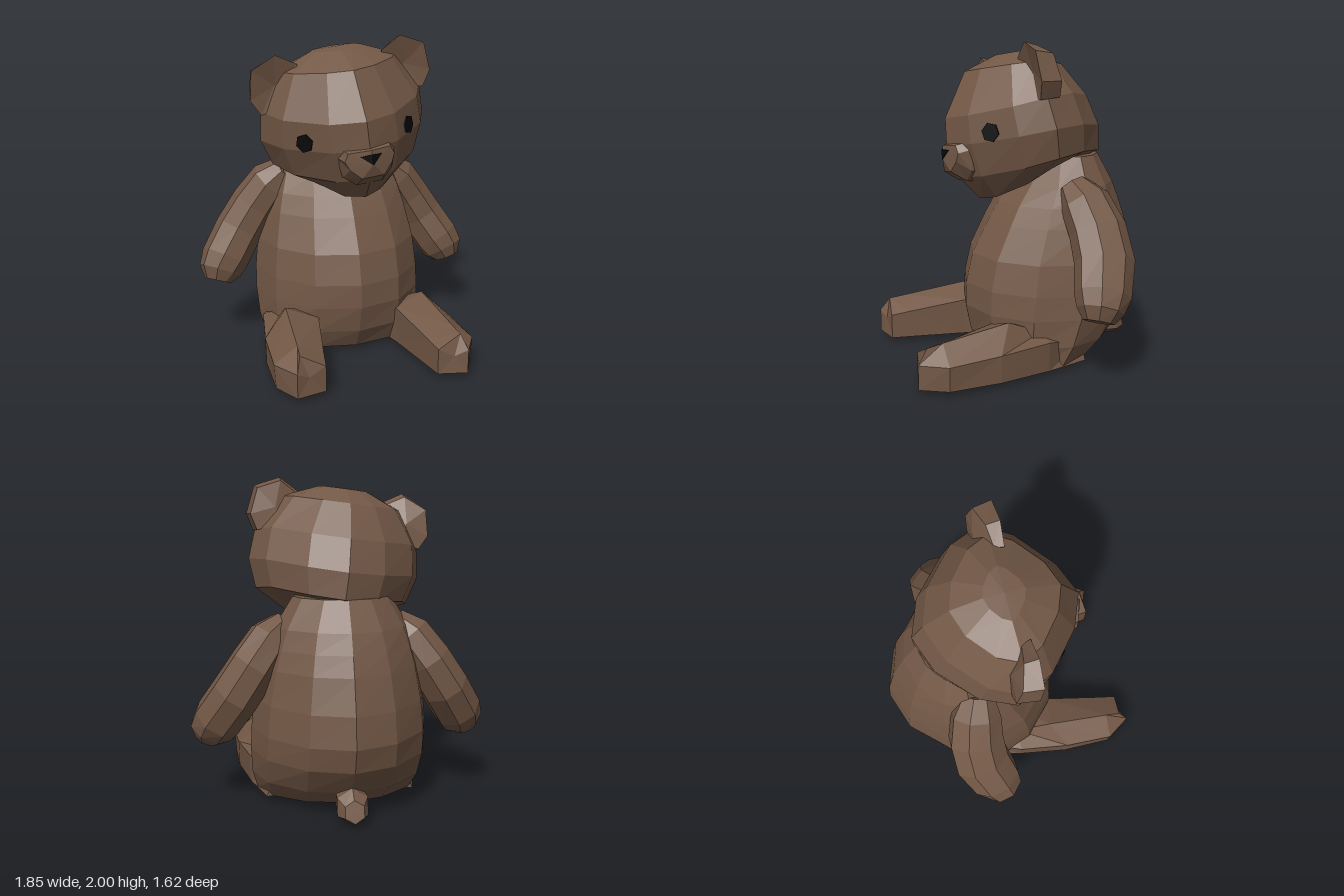
import * as THREE from 'three';

const V = (x, y, z) => new THREE.Vector3(x, y, z);

// Skin a series of equal-length rings, closing both ends with fans; faces always point outwards
function loft(rings, startTip, endTip) {
  const n = rings[0].length, tris = [];
  const centre = (r) => r.reduce((a, p) => a.add(p), V(0, 0, 0)).divideScalar(n);
  const first = rings[0], last = rings[rings.length - 1];
  const a = startTip || centre(first), b = endTip || centre(last);
  for (let i = 0; i < n; i++) {
    const j = (i + 1) % n;
    tris.push([a, first[j], first[i]], [b, last[i], last[j]]);
    for (let k = 0; k + 1 < rings.length; k++) {
      const r = rings[k], s = rings[k + 1];
      tris.push([r[i], r[j], s[j]], [r[i], s[j], s[i]]);
    }
  }
  const volume = tris.reduce((sum, [p, q, r]) => sum + p.dot(q.clone().cross(r)), 0);
  const pts = tris.flatMap(([p, q, r]) => (volume < 0 ? [p, r, q] : [p, q, r]));
  const g = new THREE.BufferGeometry().setFromPoints(pts);
  g.computeVertexNormals();
  return g;
}

// Roughly horizontal 12-sided ring: front and back heights and depths, half width, pointedness
function ring([yF, yB, zF, zB, w], frontE, backE) {
  const zc = (zF + zB) / 2, half = (zF - zB) / 2;
  return Array.from({ length: 12 }, (_, i) => {
    const a = (i / 12) * Math.PI * 2, s = Math.sin(a), c = Math.cos(a);
    const e = c > 0 ? frontE : backE;
    const z = zc + half * Math.sign(c) * Math.abs(c) ** e;
    const y = yF + (yB - yF) * THREE.MathUtils.smoothstep(1.3 * (zF - z) / (zF - zB), 0, 1);
    return V(w * Math.sign(s) * Math.abs(s) ** e, y, z);
  });
}

export function createModel() {
  const model = new THREE.Group();
  model.name = 'teddyBear';
  const fur = new THREE.MeshStandardMaterial({ color: 0x735846 });
  fur.name = 'brownFur';
  fur.flatShading = true;
  const black = new THREE.MeshStandardMaterial({ color: 0x080808 });
  black.name = 'black';
  const add = (parent, name, geometry, material = fur) => {
    const mesh = new THREE.Mesh(geometry, material);
    mesh.name = name;
    parent.add(mesh);
    return mesh;
  };

  // Body: height, front depth, back depth, half width
  const bodyRings = [
    [0.03, 0.25, -0.46, 0.515], [0.16, 0.32, -0.64, 0.55], [0.33, 0.355, -0.77, 0.56],
    [0.48, 0.35, -0.81, 0.555], [0.67, 0.305, -0.79, 0.535], [0.88, 0.195, -0.735, 0.49],
    [1.0, 0.125, -0.69, 0.455], [1.12, 0.03, -0.64, 0.41], [1.3, -0.08, -0.54, 0.3],
  ].map(([y, f, b, w]) => ring([y, y, f, b, w], 1, 1.12));
  add(model, 'body', loft(bodyRings));

  // Tail
  const tailRings = [[-0.48, 0.09, 0.065], [-0.62, 0.105, 0.1], [-0.7, 0.105, 0.105], [-0.765, 0.095, 0.065]]
    .map(([z, y, r]) => Array.from({ length: 6 }, (_, i) => {
      const a = (i / 6) * Math.PI * 2;
      return V(r * Math.sin(a), y + r * Math.cos(a), z + 0.02 * Math.cos(a));
    }));
  add(model, 'tail', loft(tailRings));

  // Limbs, built once for each side: arm path points with half width and half depth
  const armPath = [
    [0.34, 1.13, -0.24, 0.08, 0.1], [0.43, 1.04, -0.28, 0.135, 0.155], [0.54, 0.885, -0.315, 0.145, 0.175],
    [0.65, 0.715, -0.31, 0.15, 0.18], [0.76, 0.545, -0.245, 0.15, 0.165], [0.8, 0.47, -0.21, 0.135, 0.135],
    [0.82, 0.41, -0.19, 0.085, 0.09],
  ];
  for (const s of [1, -1]) {
    const side = s > 0 ? 'left' : 'right';
    const centres = armPath.map(([x, y, z]) => V(s * x, y, z));
    const armRings = armPath.map(([, , , across, deep], k) => {
      const t = centres[Math.min(k + 1, 6)].clone().sub(centres[Math.max(k - 1, 0)]).normalize();
      const u = V(0, 0, 1).addScaledVector(t, -t.z).normalize();
      const v = u.clone().cross(t);
      return Array.from({ length: 8 }, (_, i) => {
        const a = ((i + 0.5) / 8) * Math.PI * 2;
        return centres[k].clone().addScaledVector(v, 1.04 * across * Math.cos(a))
          .addScaledVector(u, 1.04 * deep * Math.sin(a));
      });
    });
    add(model, side + 'Arm', loft(armRings));

    // Leg sections from hip to toe: inner bottom, inner top, ridge, outer top, outer bottom
    const legRings = [
      [[0.1, 0.03, -0.28], [0.1, 0.12, -0.28], [0.25, 0.18, -0.28], [0.42, 0.15, -0.28], [0.47, 0.03, -0.28]],
      [[0.2, 0.03, 0], [0.2, 0.2, 0], [0.42, 0.24, 0], [0.56, 0.215, 0], [0.55, 0.03, 0]],
      [[0.27, 0.03, 0.3], [0.26, 0.27, 0.28], [0.46, 0.34, 0.23], [0.615, 0.2, 0.33], [0.61, 0.03, 0.33]],
      [[0.33, 0.03, 0.65], [0.33, 0.21, 0.65], [0.49, 0.28, 0.65], [0.63, 0.18, 0.65], [0.62, 0.03, 0.65]],
      [[0.35, 0.03, 0.77], [0.35, 0.19, 0.77], [0.5, 0.265, 0.75], [0.53, 0.18, 0.81], [0.53, 0.03, 0.81]],
    ].map((r) => r.map(([x, y, z]) => V(s * x, y, z)));
    add(model, side + 'Leg', loft(legRings));
  }

  // Head, tilted to one side about its centre
  const head = new THREE.Group();
  head.name = 'head';
  head.position.y = 1.45;
  head.rotation.z = 0.13;
  model.add(head);
  const headRings = [
    [-0.42, -0.18, 0.27, -0.48, 0.3], [-0.28, -0.15, 0.4, -0.55, 0.485], [-0.08, 0.01, 0.47, -0.55, 0.545],
    [0.09, 0.2, 0.47, -0.47, 0.525], [0.375, 0.4, 0.33, -0.31, 0.38], [0.475, 0.485, 0.12, -0.12, 0.16],
  ].map((r) => ring(r, 1.36, 1.25));
  const skull = add(head, 'skull', loft(headRings, null, V(0, 0.49, 0)));

  // Ears: outline with back depth, wedge-shaped, with a hollow front
  const earOutline = [[0.27, 0.43, 0.02], [0.4, 0.505, 0], [0.555, 0.435, -0.04], [0.585, 0.255, -0.075],
    [0.53, 0.155, -0.08], [0.33, 0.2, -0.08]];
  for (const s of [1, -1]) {
    const front = earOutline.map(([x, y]) => V(s * x, y, 0.065 + (y - 0.32) * 0.1));
    const back = earOutline.map(([x, y, z]) => V(s * (0.04 + x * 0.9), 0.03 + y * 0.9, z));
    add(head, (s > 0 ? 'left' : 'right') + 'Ear',
      loft([back, front], V(s * 0.42, 0.32, -0.07), V(s * 0.42, 0.32, 0.035)));
  }

  // Muzzle: half width, bottom, top, depth, with a ridge down the front
  const muzzleRings = [[0.18, -0.31, -0.065, 0.24, 0], [0.183, -0.3, -0.06, 0.39, 0.03], [0.155, -0.24, -0.08, 0.495, 0.05]]
    .map(([w, b, t, z, slope]) => [[0.45, b], [0.85, b + 0.06], [1, t - 0.05], [0.85, t], [0, t + 0.005],
      [-0.85, t], [-1, t - 0.05], [-0.85, b + 0.06], [-0.45, b]].map(([x, y]) => V(x * w, y, z - slope * Math.abs(x))));
  add(head, 'muzzle', loft(muzzleRings, null, V(0, -0.16, 0.5)));

  // Nose: thin triangular plate folded over the muzzle ridge
  const noseRing = (z) => [[-0.066, -0.107], [0, -0.1], [0.066, -0.107], [0, -0.165]]
    .map(([x, y]) => V(x, y, z - 0.36 * Math.abs(x)));
  add(head, 'nose', loft([noseRing(0.496), noseRing(0.504)], V(0, -0.12, 0.496), V(0, -0.12, 0.504)), black);

  // Eyes: thin hexagonal plates laid against the skull
  for (const s of [1, -1]) {
    const hit = new THREE.Raycaster(V(s * 0.325 - 0.01, -0.014, 2), V(0, 0, -1)).intersectObject(skull)[0];
    const eye = add(head, (s > 0 ? 'left' : 'right') + 'Eye',
      new THREE.CylinderGeometry(0.058, 0.058, 0.009, 6), black);
    eye.position.copy(hit.point).addScaledVector(hit.face.normal, 0.006);
    eye.quaternion.setFromUnitVectors(V(0, 1, 0), hit.face.normal);
  }
  return model;
}
